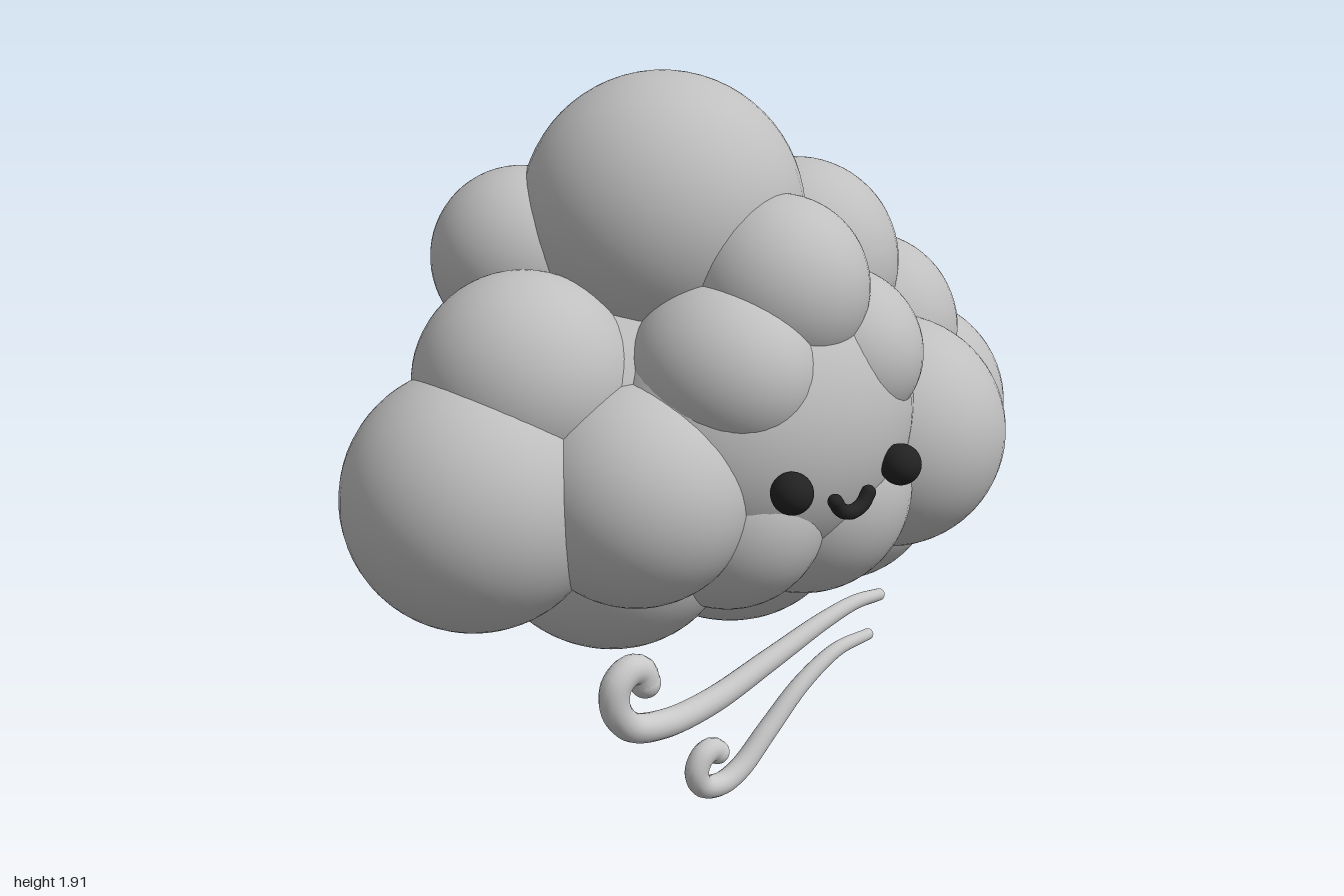
import * as THREE from 'three';

export function createModel() {
  const model = new THREE.Group();
  model.name = 'windyCloud';

  const cloudGrey = new THREE.MeshStandardMaterial({ color: 0xbfbfbf });
  cloudGrey.name = 'cloud grey';
  const windGrey = new THREE.MeshStandardMaterial({ color: 0xc8c8c8 });
  windGrey.name = 'wind grey';
  const faceBlack = new THREE.MeshStandardMaterial({ color: 0x222222 });
  faceBlack.name = 'face black';

  const ball = new THREE.SphereGeometry(1, 48, 32);

  // One rounded puff: a sphere, or an ellipsoid when ry and rz are given
  function puff(parent, name, material, x, y, z, rx, ry = rx, rz = rx) {
    const mesh = new THREE.Mesh(ball, material);
    mesh.name = name;
    mesh.position.set(x, y, z);
    mesh.scale.set(rx, ry, rz);
    parent.add(mesh);
  }

  // Tube along a curve whose radius follows radiusAt(t), with round ends
  function taperedTube(parent, name, material, points, radiusAt) {
    const curve = new THREE.CatmullRomCurve3(points.map(p => new THREE.Vector3(...p)));
    const steps = 96, sides = 16;
    const geometry = new THREE.TubeGeometry(curve, steps, 1, sides);
    const pos = geometry.attributes.position;
    const v = new THREE.Vector3();
    for (let i = 0; i <= steps; i++) {
      const t = i / steps;
      const centre = curve.getPointAt(t);
      for (let j = 0; j <= sides; j++) {
        const k = i * (sides + 1) + j;
        v.fromBufferAttribute(pos, k).sub(centre).multiplyScalar(radiusAt(t)).add(centre);
        pos.setXYZ(k, v.x, v.y, v.z);
      }
    }
    const group = new THREE.Group();
    group.name = name;
    const tube = new THREE.Mesh(geometry, material);
    tube.name = name + 'Tube';
    group.add(tube);
    for (const t of [0, 1]) {
      const p = curve.getPointAt(t);
      puff(group, name + 'End', material, p.x, p.y, p.z, radiusAt(t));
    }
    parent.add(group);
  }

  // Cloud body, from the core outwards
  const cloud = new THREE.Group();
  cloud.name = 'cloud';
  model.add(cloud);
  const puffs = {
    core: [0, 1.08, -0.05, 0.7, 0.38, 0.35],
    // Outline, left to right as seen from the front
    crown: [-0.115, 1.565, -0.065, 0.345],
    rightEnd: [-0.69, 0.965, -0.065, 0.312],
    rightShoulder: [-0.54, 1.22, -0.065, 0.262],
    leftUpper: [0.33, 1.395, -0.07, 0.265],
    leftShoulder: [0.565, 1.185, -0.06, 0.255],
    leftEnd: [0.713, 0.955, -0.06, 0.287],
    // Underside
    bottomRight: [-0.32, 0.815, -0.05, 0.29, 0.29, 0.34],
    bottomMiddle: [0.06, 0.815, -0.05, 0.3, 0.31, 0.36],
    bottomLeft: [0.42, 0.8, -0.05, 0.275, 0.275, 0.32],
    // Front cluster
    frontMiddle: [-0.03, 1.1, 0.2, 0.42, 0.37, 0.305],
    frontTop: [-0.03, 1.425, 0.25, 0.22],
    frontUpperRight: [-0.2, 1.25, 0.25, 0.213, 0.21, 0.235],
    frontUpperLeft: [0.15, 1.245, 0.25, 0.213, 0.21, 0.235],
    frontRight: [-0.4, 0.975, 0.17, 0.272, 0.268, 0.28],
    frontLeft: [0.44, 0.972, 0.17, 0.3],
    frontLowerRight: [-0.15, 0.9, 0.2, 0.24, 0.25, 0.26],
    frontLowerLeft: [0.11, 0.9, 0.2, 0.27],
    // Back cluster
    backKnob: [-0.37, 1.46, -0.295, 0.222],
    backRidge: [0.12, 1.17, -0.2, 0.35, 0.44, 0.33],
    backRight: [-0.2, 1.0, -0.2, 0.36, 0.36, 0.34],
    backLeft: [0.44, 1.07, -0.19, 0.3, 0.3, 0.285],
    backLowerLeft: [0.36, 0.86, -0.16, 0.27],
  };
  for (const [name, dims] of Object.entries(puffs)) puff(cloud, name, cloudGrey, ...dims);

  // Face
  const face = new THREE.Group();
  face.name = 'face';
  model.add(face);
  puff(face, 'rightEye', faceBlack, -0.205, 1.01, 0.495, 0.05);
  puff(face, 'leftEye', faceBlack, 0.148, 1.01, 0.495, 0.05);
  taperedTube(face, 'smile', faceBlack, [
    [-0.08, 0.968, 0.508], [-0.06, 0.943, 0.508], [-0.026, 0.932, 0.508],
    [0.008, 0.943, 0.508], [0.028, 0.968, 0.508],
  ], () => 0.018);

  // Two curled gusts of wind, thick at the curl and thin at the tail
  const flat = list => list.map(([x, y]) => [x, y, -0.02]);
  taperedTube(model, 'upperGust', windGrey, flat([
    [-0.222, 0.392], [-0.237, 0.428], [-0.275, 0.437], [-0.316, 0.405], [-0.318, 0.345],
    [-0.27, 0.285], [-0.16, 0.262], [0, 0.28], [0.2, 0.34], [0.4, 0.402], [0.52, 0.427], [0.612, 0.427],
  ]), t => 0.04 - 0.023 * t * t);
  taperedTube(model, 'lowerGust', windGrey, flat([
    [0.02, 0.13], [0.002, 0.143], [-0.032, 0.132], [-0.052, 0.092], [-0.032, 0.05],
    [0.03, 0.035], [0.1, 0.06], [0.2, 0.143], [0.32, 0.24], [0.45, 0.305], [0.572, 0.32],
  ]), t => 0.032 - 0.016 * t * t);

  return model;
}
